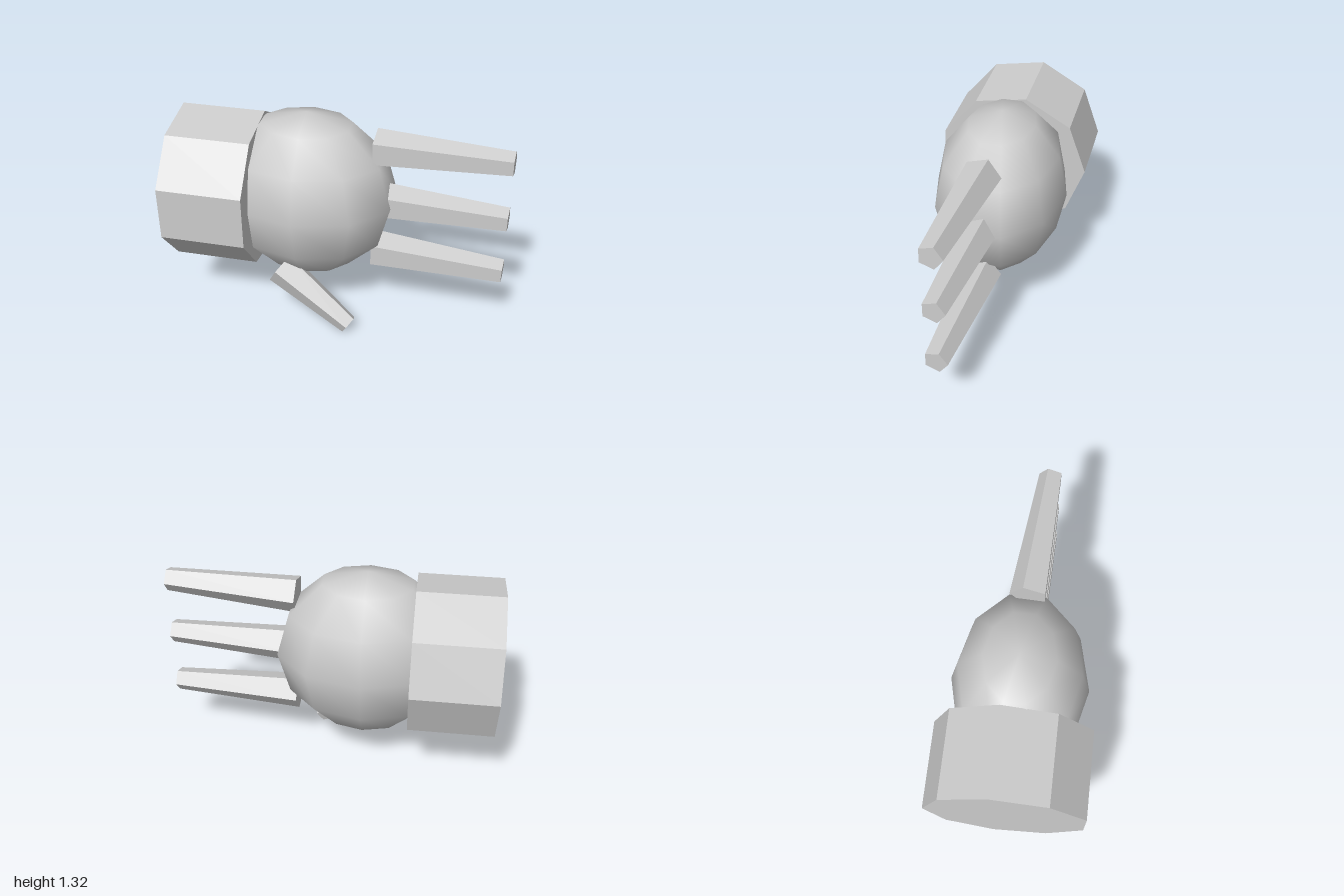
import * as THREE from 'three';

const grey = new THREE.MeshStandardMaterial({ color: 0xcccccc });
grey.name = 'plain grey';

// Faceted tapered prism from one point to another; one corner points along cornerDir
function prism(name, from, to, r0, r1, sides, cornerDir) {
  const a = new THREE.Vector3(...from);
  const b = new THREE.Vector3(...to);
  const axis = b.clone().sub(a);
  const length = axis.length();
  axis.normalize();
  const corner = new THREE.Vector3(...cornerDir);
  corner.addScaledVector(axis, -corner.dot(axis)).normalize();
  const side = new THREE.Vector3().crossVectors(axis, corner);

  const geometry = new THREE.CylinderGeometry(r1, r0, length, sides).toNonIndexed();
  geometry.computeVertexNormals(); // one normal per face keeps the facets flat
  const frame = new THREE.Matrix4().makeBasis(side, axis, corner);
  frame.setPosition(a.add(b).multiplyScalar(0.5));
  geometry.applyMatrix4(frame);

  const mesh = new THREE.Mesh(geometry, grey);
  mesh.name = name;
  return mesh;
}

export function createModel() {
  const hand = new THREE.Group();
  hand.name = 'hand';
  const midY = 0.787;

  // Nine-sided cuff
  hand.add(prism('cuff', [-1, midY, 0.015], [-0.49, midY, 0.015], 0.475, 0.475, 9, [0, 0, -1]));

  // Smooth palm, a coarse ellipsoid
  const palmShape = new THREE.SphereGeometry(1, 10, 6);
  palmShape.rotateY(Math.PI / 2);
  palmShape.scale(0.55, 0.533, 0.41);
  const palm = new THREE.Mesh(palmShape, grey);
  palm.name = 'palm';
  palm.position.set(-0.212, midY, 0.012);
  hand.add(palm);

  // Three tapered fingers, the outer two splayed slightly
  ['lowerFinger', 'middleFinger', 'upperFinger'].forEach((name, i) => {
    const k = i - 1;
    hand.add(prism(name,
      [0.203, midY + 0.352 * k, 0.02], [0.996, midY + 0.368 * k, 0.072],
      0.114, 0.073, 5, [0, 0, -1]));
  });

  // Thumb pointing down and forward
  hand.add(prism('thumb', [-0.345, 0.337, 0.21], [0.108, 0.046, 0.322], 0.112, 0.062, 5, [0, 1, 0]));

  return hand;
}
